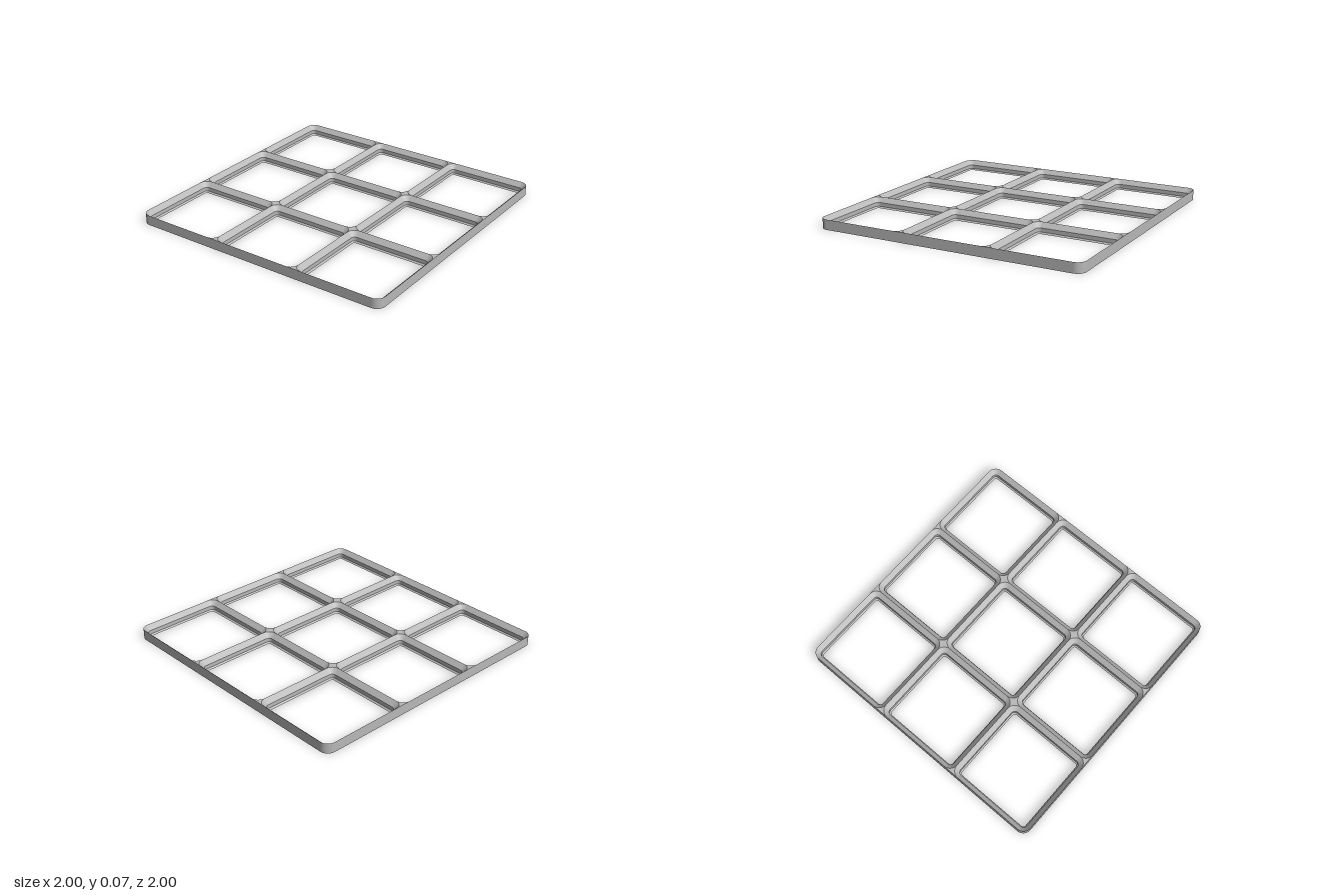
import * as THREE from 'three';
import { mergeGeometries } from 'three/addons/utils/BufferGeometryUtils.js';

const CELL = 2 / 3, HEIGHT = 0.074, RADIUS = 0.0635, STEPS = 10;
// Pocket wall, bottom to top: [inset from cell edge, height]
const PROFILE = [[0.0452, 0], [0.0341, 0.0111], [0.0341, 0.0399], [0, HEIGHT]];

// Rounded-square outline: each point is an arc centre plus an outward direction
function outline(half) {
  const points = [];
  for (let q = 0; q < 4; q++) {
    const mid = (q + 0.5) * Math.PI / 2;
    const cx = Math.sign(Math.cos(mid)) * (half - RADIUS);
    const cz = Math.sign(Math.sin(mid)) * (half - RADIUS);
    for (let i = 0; i <= STEPS; i++) {
      const a = (q + i / STEPS) * Math.PI / 2;
      points.push({ cx, cz, dx: Math.cos(a), dz: Math.sin(a) });
    }
  }
  return points;
}

const ringPoints = (half, inset, x = 0, z = 0) => outline(half).map(p =>
  new THREE.Vector2(x + p.cx + p.dx * (RADIUS - inset), z + p.cz + p.dz * (RADIUS - inset)));

// One wall band between two offset outlines; facing is 1 outwards, -1 inwards
function band(half, [d0, y0], [d1, y1], facing) {
  const ring = outline(half), n = ring.length;
  const pos = [], nor = [], index = [];
  const len = Math.hypot(d0 - d1, y1 - y0);
  const nr = facing * (y1 - y0) / len, ny = -facing * (d0 - d1) / len;
  for (const [d, y] of [[d0, y0], [d1, y1]]) {
    for (const p of ring) {
      pos.push(p.cx + p.dx * (RADIUS - d), y, p.cz + p.dz * (RADIUS - d));
      nor.push(p.dx * nr, ny, p.dz * nr);
    }
  }
  for (let i = 0; i < n; i++) {
    const j = (i + 1) % n;
    if (facing < 0) index.push(i, j, n + i, j, n + j, n + i);
    else index.push(i, n + i, j, j, n + i, n + j);
  }
  const g = new THREE.BufferGeometry();
  g.setAttribute('position', new THREE.Float32BufferAttribute(pos, 3));
  g.setAttribute('normal', new THREE.Float32BufferAttribute(nor, 3));
  g.setIndex(index);
  return g;
}

export function createModel() {
  const group = new THREE.Group();
  const grey = new THREE.MeshStandardMaterial({ color: 0xb8b8b8 });
  grey.name = 'grey';
  const add = (name, geometry) => {
    const mesh = new THREE.Mesh(geometry, grey);
    mesh.name = name;
    group.add(mesh);
    return mesh;
  };

  // Outer rim with rounded corners
  add('outerRim', band(1, [0, 0], [0, HEIGHT], 1));

  // Stepped, chamfered pocket walls of the nine cells
  const pocket = mergeGeometries(PROFILE.slice(1).map((level, i) => band(CELL / 2, PROFILE[i], level, -1)));
  const underside = new THREE.Shape(ringPoints(1, 0));
  const flats = [];
  for (let row = -1; row <= 1; row++) {
    for (let col = -1; col <= 1; col++) {
      const x = col * CELL, z = row * CELL;
      add('pocketWall', pocket).position.set(x, 0, z);
      underside.holes.push(new THREE.Path(ringPoints(CELL / 2, PROFILE[0][0], x, z)));

      // Flat top webs left between the rounded pocket corners
      const ring = ringPoints(CELL / 2, 0, x, z);
      for (let q = 0; q < 4; q++) {
        const sx = q === 0 || q === 3 ? 1 : -1, sz = q < 2 ? 1 : -1;
        if (sx === col && sz === row) continue; // rounded corner of the whole frame
        const arc = ring.slice(q * (STEPS + 1), (q + 1) * (STEPS + 1));
        flats.push(new THREE.Shape([new THREE.Vector2(x + sx * CELL / 2, z + sz * CELL / 2), ...arc]));
      }
    }
  }
  add('topWebs', new THREE.ShapeGeometry(flats).rotateX(-Math.PI / 2).translate(0, HEIGHT, 0));

  // Flat underside with nine openings
  add('underside', new THREE.ShapeGeometry(underside).rotateX(Math.PI / 2));
  return group;
}
